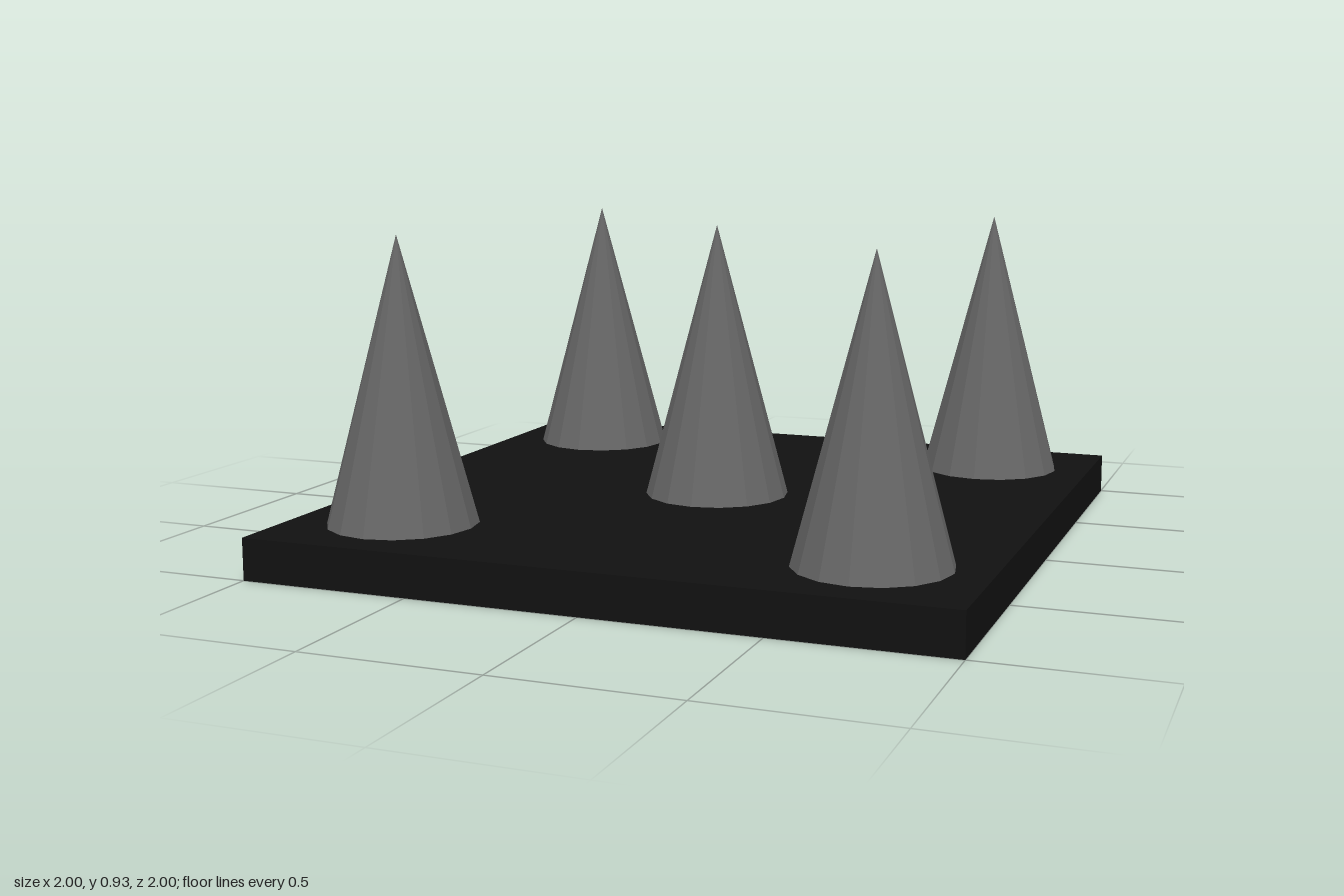
import * as THREE from 'three';

const BASE_HEIGHT = 0.12;
const SPIKE_HEIGHT = 0.81;
const SPIKE_RADIUS = 0.214;
const SPIKE_OFFSET = 0.684;

export function createModel() {
  const model = new THREE.Group();
  model.name = 'spikeTrap';

  // Square base plate
  const base = new THREE.Mesh(
    new THREE.BoxGeometry(2, BASE_HEIGHT, 2),
    new THREE.MeshStandardMaterial({ color: 0x111111 })
  );
  base.name = 'basePlate';
  base.position.y = BASE_HEIGHT / 2;
  model.add(base);

  // Faceted spikes: one in the middle and one near each corner
  const spikeGeometry = new THREE.ConeGeometry(SPIKE_RADIUS, SPIKE_HEIGHT, 16);
  const spikeMaterial = new THREE.MeshStandardMaterial({ color: 0x666666, flatShading: true });
  const spots = { centre: [0, 0], frontLeft: [1, 1], frontRight: [-1, 1], backLeft: [1, -1], backRight: [-1, -1] };
  for (const [place, [x, z]] of Object.entries(spots)) {
    const spike = new THREE.Mesh(spikeGeometry, spikeMaterial);
    spike.name = `${place}Spike`;
    spike.position.set(x * SPIKE_OFFSET, BASE_HEIGHT + SPIKE_HEIGHT / 2, z * SPIKE_OFFSET);
    model.add(spike);
  }

  return model;
}
